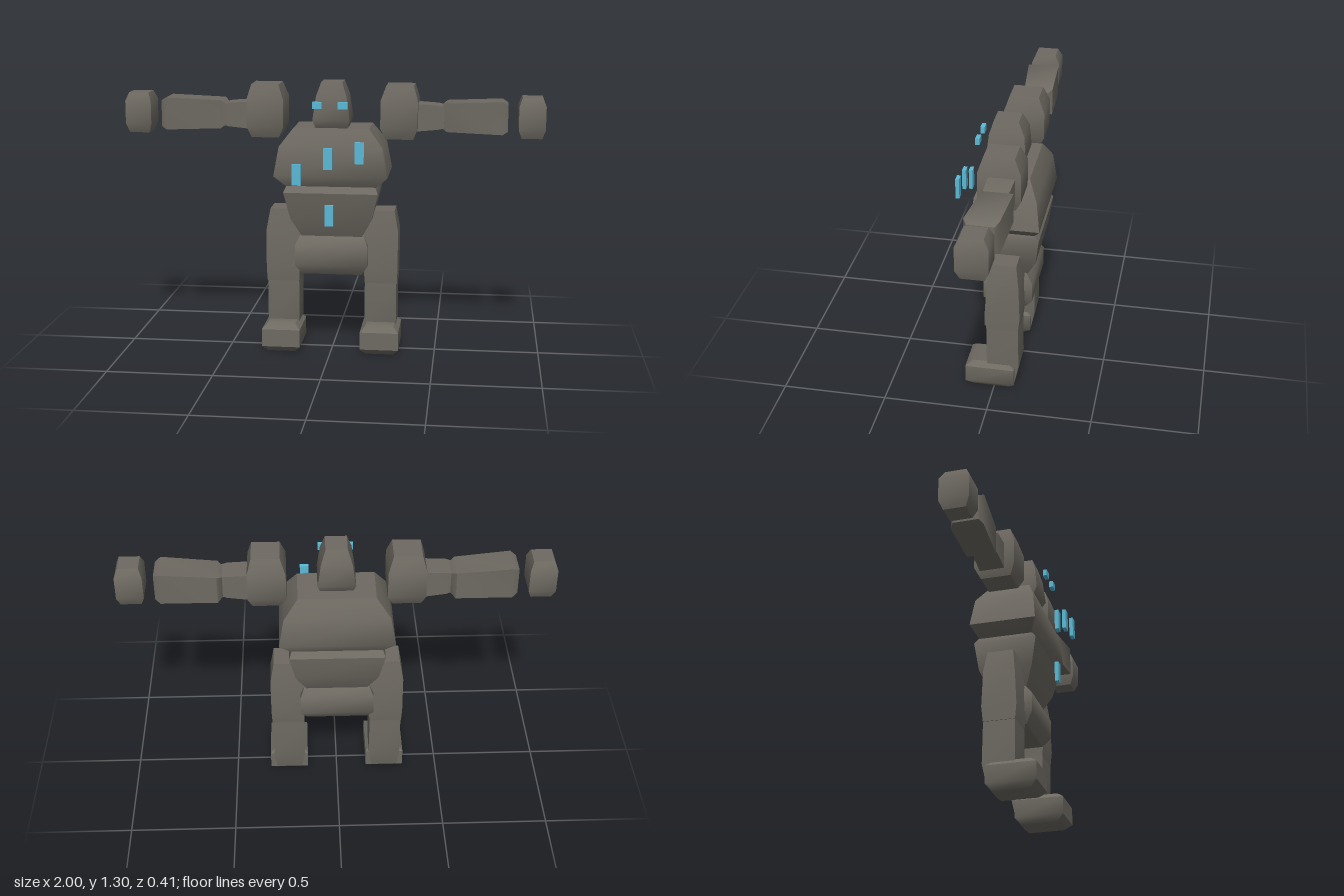
import * as THREE from 'three';
import { toCreasedNormals } from 'three/addons/utils/BufferGeometryUtils.js';

// Loft of rectangular sections [t, a0, a1, b0, b1].
// axis 'y': t = y, a = z, b = x.   axis 'x': t = x, a = y, b = z.
function loft(sections, axis) {
  const pos = [], index = [];
  for (const [t, a0, a1, b0, b1] of sections) {
    for (const [a, b] of [[a0, b0], [a1, b0], [a1, b1], [a0, b1]]) {
      if (axis === 'y') pos.push(b, t, a);
      else pos.push(t, a, b);
    }
  }
  for (let s = 0; s < sections.length - 1; s++) {
    for (let i = 0; i < 4; i++) {
      const p = s * 4 + i, q = s * 4 + (i + 1) % 4;
      index.push(p, q, q + 4, p, q + 4, p + 4);
    }
  }
  const e = (sections.length - 1) * 4;
  index.push(0, 2, 1, 0, 3, 2, e, e + 1, e + 2, e, e + 2, e + 3);
  const geo = new THREE.BufferGeometry();
  geo.setAttribute('position', new THREE.Float32BufferAttribute(pos, 3));
  geo.setIndex(index);
  return toCreasedNormals(geo, 0.75);
}

// Mirror loft sections to the other side of the body.
function mirror(sections, axis) {
  if (axis === 'y') return sections.map(([t, a0, a1, b0, b1]) => [t, a0, a1, -b1, -b0]);
  return sections.map(([t, ...rest]) => [-t, ...rest]).reverse();
}

export function createModel() {
  const model = new THREE.Group();
  const stone = new THREE.MeshStandardMaterial({ color: 0x6e6a62 });
  stone.name = 'stone grey';
  const glow = new THREE.MeshStandardMaterial({ color: 0x5ab9d6 });
  glow.name = 'rune blue';

  const add = (name, geo, mat = stone) => {
    const mesh = new THREE.Mesh(geo, mat);
    mesh.name = name;
    model.add(mesh);
  };

  // Central body, [y, zBack, zFront, xMin, xMax]
  add('pelvis', loft([
    [0.375, -0.125, 0.04, -0.145, 0.145],
    [0.425, -0.16, 0.075, -0.175, 0.175],
    [0.52, -0.16, 0.075, -0.175, 0.175],
    [0.565, -0.13, 0.04, -0.155, 0.155],
  ], 'y'));
  add('abdomen', loft([
    [0.562, -0.135, 0.04, -0.145, 0.145],
    [0.655, -0.178, 0.08, -0.195, 0.195],
    [0.785, -0.195, 0.108, -0.225, 0.225],
    [0.82, -0.17, 0.08, -0.21, 0.21],
  ], 'y'));
  add('chest', loft([
    [0.8, -0.165, 0.075, -0.2, 0.2],
    [0.865, -0.205, 0.117, -0.27, 0.27],
    [1.005, -0.187, 0.102, -0.245, 0.245],
    [1.09, -0.145, 0.065, -0.18, 0.18],
  ], 'y'));
  add('head', loft([
    [1.085, -0.08, 0.05, -0.075, 0.075],
    [1.13, -0.107, 0.077, -0.088, 0.088],
    [1.24, -0.1, 0.065, -0.072, 0.072],
    [1.305, -0.07, 0.045, -0.05, 0.05],
  ], 'y'));

  // Limbs for the left side, mirrored to the right
  const limbs = {
    Thigh: ['y', [
      [0.335, -0.117, 0.035, 0.16, 0.315],
      [0.41, -0.125, 0.042, 0.155, 0.318],
      [0.59, -0.118, 0.033, 0.155, 0.318],
      [0.69, -0.105, 0.02, 0.175, 0.3],
    ]],
    Shin: ['y', [
      [0.03, -0.1, 0.01, 0.175, 0.3],
      [0.13, -0.12, 0.035, 0.16, 0.312],
      [0.34, -0.117, 0.035, 0.16, 0.312],
    ]],
    Foot: ['y', [
      [0, -0.07, 0.105, 0.17, 0.305],
      [0.03, -0.1, 0.138, 0.145, 0.33],
      [0.115, -0.1, 0.138, 0.145, 0.33],
      [0.14, -0.07, 0.105, 0.17, 0.305],
    ]],
    Shoulder: ['y', [
      [1.037, -0.115, 0.03, 0.255, 0.385],
      [1.09, -0.143, 0.052, 0.23, 0.405],
      [1.22, -0.143, 0.052, 0.23, 0.405],
      [1.29, -0.112, 0.028, 0.255, 0.385],
    ]],
    UpperArm: ['x', [
      [0.37, 1.07, 1.205, -0.118, 0.003],
      [0.5, 1.083, 1.197, -0.112, 0.005],
      [0.53, 1.09, 1.19, -0.105, 0],
    ]],
    Forearm: ['x', [
      [0.515, 1.09, 1.19, -0.105, -0.015],
      [0.54, 1.073, 1.208, -0.135, 0.005],
      [0.8, 1.066, 1.22, -0.125, 0.028],
      [0.825, 1.08, 1.205, -0.108, 0.012],
    ]],
    Hand: ['y', [
      [1.047, -0.097, 0.005, 0.89, 0.985],
      [1.09, -0.117, 0.024, 0.875, 1],
      [1.2, -0.117, 0.024, 0.875, 1],
      [1.24, -0.095, 0.005, 0.89, 0.985],
    ]],
  };
  for (const [part, [axis, sections]] of Object.entries(limbs)) {
    add('left' + part, loft(sections, axis));
    add('right' + part, loft(mirror(sections, axis), axis));
  }

  // Floating glowing blocks: [name, x, y, z, width, height, depth]
  for (const [name, x, y, z, w, h, d] of [
    ['leftEye', 0.06, 1.205, 0.117, 0.045, 0.032, 0.02],
    ['rightEye', -0.06, 1.205, 0.117, 0.045, 0.032, 0.02],
    ['rightChestRune', -0.148, 0.89, 0.196, 0.042, 0.1, 0.018],
    ['middleChestRune', 0, 0.968, 0.196, 0.042, 0.1, 0.018],
    ['leftChestRune', 0.146, 0.997, 0.196, 0.042, 0.1, 0.018],
    ['bellyRune', 0, 0.69, 0.156, 0.042, 0.1, 0.018],
  ]) {
    const geo = new THREE.BoxGeometry(w, h, d);
    geo.translate(x, y, z);
    add(name, geo, glow);
  }
  return model;
}
